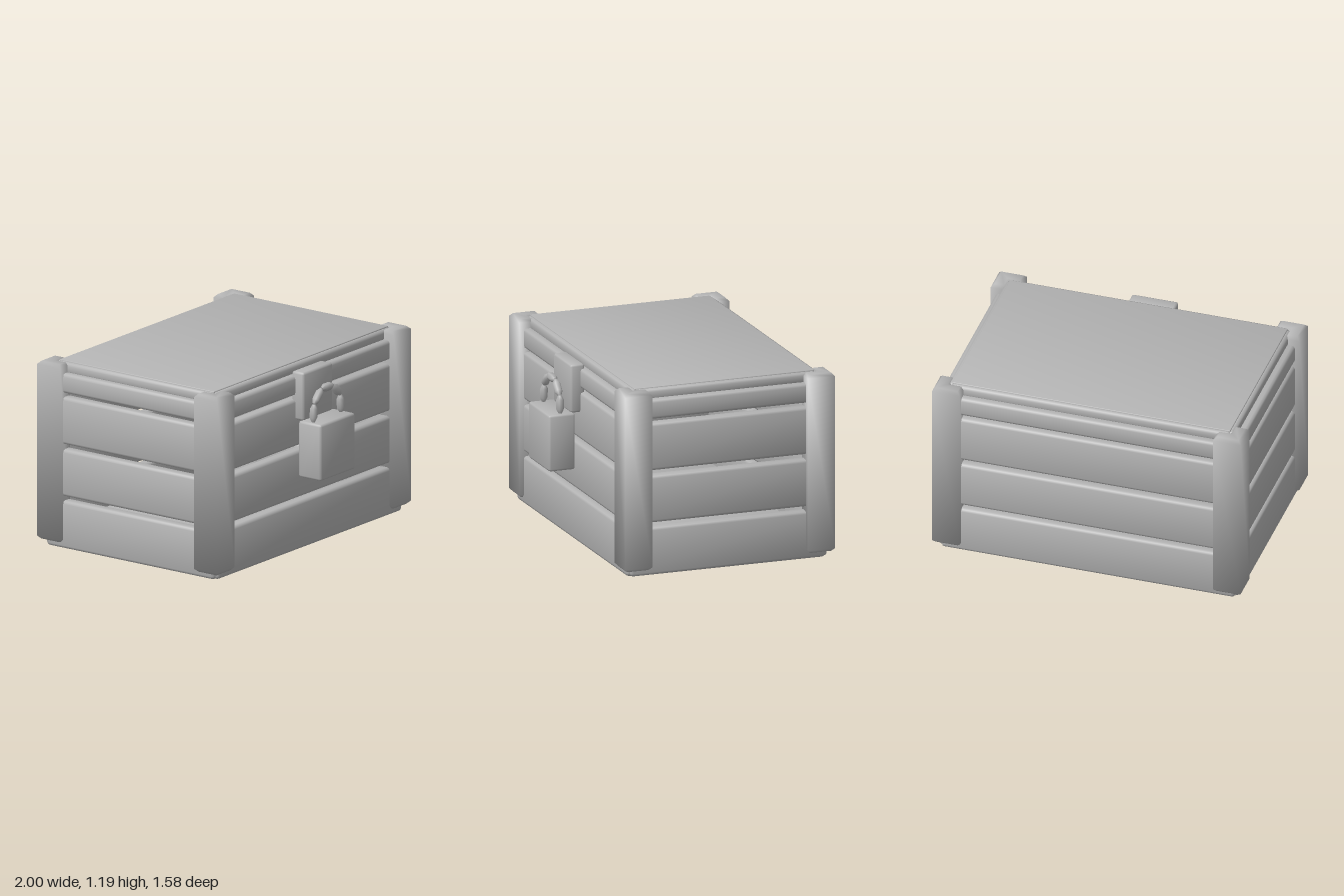
import * as THREE from 'three';
import { mergeVertices } from 'three/addons/utils/BufferGeometryUtils.js';
import { RoundedBoxGeometry } from 'three/addons/geometries/RoundedBoxGeometry.js';

const CZ = -0.095; // centre of the crate body in z; the lock hangs out in front

// Welds a bevelled shape and blends its face normals equally, for soft broad shading
function soften(geometry) {
  geometry.deleteAttribute('uv');
  geometry.deleteAttribute('normal');
  const g = mergeVertices(geometry, 1e-4);
  g.clearGroups();
  const pos = g.attributes.position, idx = g.index;
  const sums = Array.from({ length: pos.count }, () => new THREE.Vector3());
  const tri = new THREE.Triangle(), n = new THREE.Vector3();
  for (let i = 0; i < idx.count; i += 3) {
    const ids = [idx.getX(i), idx.getX(i + 1), idx.getX(i + 2)];
    tri.setFromAttributeAndIndices(pos, ...ids);
    if (tri.getArea() < 1e-9) continue;
    tri.getNormal(n);
    ids.forEach((id) => sums[id].add(n));
  }
  const normals = sums.flatMap((v) => v.normalize().toArray());
  g.setAttribute('normal', new THREE.Float32BufferAttribute(normals, 3));
  return g;
}

export function createModel() {
  const group = new THREE.Group();
  const grey = new THREE.MeshStandardMaterial({ color: 0xb4b4b4 });
  grey.name = 'plain grey';

  function add(name, geometry) {
    const mesh = new THREE.Mesh(geometry, grey);
    mesh.name = name;
    group.add(mesh);
    return mesh;
  }

  // Bevelled box given by its limits on each axis
  function block(name, [x0, x1], [y0, y1], [z0, z1], bevel = 0.02) {
    const g = soften(new RoundedBoxGeometry(x1 - x0, y1 - y0, z1 - z0, 1, bevel));
    return add(name, g).position.set((x0 + x1) / 2, (y0 + y1) / 2, (z0 + z1) / 2);
  }

  // Four planks round the body; outer faces at x = +-hx and z = CZ +- hz
  function ring(name, y, hx, hz, t) {
    for (const s of [-1, 1]) {
      const zs = [CZ + s * hz, CZ + s * (hz - t)].sort((a, b) => a - b);
      const xs = [s * hx, s * (hx - t)].sort((a, b) => a - b);
      block(s > 0 ? name + 'Front' : name + 'Back', [0.02 - hx, hx - 0.02], y, zs);
      block(s > 0 ? name + 'Left' : name + 'Right', xs, y, [CZ - hz + 0.02, CZ + hz - 0.02]);
    }
  }
  ring('lowerPlank', [0, 0.307], 0.97, 0.665, 0.08);
  ring('middlePlank', [0.335, 0.638], 0.97, 0.665, 0.08);
  ring('upperPlank', [0.67, 0.974], 0.97, 0.665, 0.08);
  ring('topPlank', [1.0, 1.125], 0.97, 0.665, 0.08);
  ring('lidRail', [1.11, 1.183], 0.925, 0.62, 0.07);

  // Lid panel, and floor panel set up inside the lowest planks
  block('lidPanel', [-0.9, 0.9], [1.15, 1.19], [CZ - 0.595, CZ + 0.595], 0.004);
  block('floorPanel', [-0.9, 0.9], [0.1, 0.13], [CZ - 0.595, CZ + 0.595], 0.004);

  // L-shaped corner posts
  const bevel = 0.02, bottom = 0.04, top = 1.185;
  for (const sx of [-1, 1]) {
    for (const sz of [-1, 1]) {
      const outline = [[1, 0.695], [0.82, 0.695], [0.82, 0.595], [0.9, 0.595], [0.9, 0.515], [1, 0.515]];
      const shape = new THREE.Shape(outline.map(([x, z]) => new THREE.Vector2(sx * x, -sz * z)));
      const g = new THREE.ExtrudeGeometry(shape, {
        depth: top - bottom - 2 * bevel, bevelEnabled: true, bevelSegments: 1,
        bevelSize: bevel, bevelThickness: bevel, bevelOffset: -bevel,
      });
      g.rotateX(-Math.PI / 2);
      const name = (sz > 0 ? 'front' : 'back') + (sx > 0 ? 'Left' : 'Right') + 'Post';
      add(name, soften(g)).position.set(0, bottom + bevel, CZ);
    }
  }

  // Hasp plate and padlock body
  block('hasp', [-0.152, 0.15], [0.845, 1.155], [0.54, 0.633], 0.015);
  block('padlockBody', [-0.18, 0.177], [0.49, 0.852], [0.612, 0.787], 0.015);

  // Shackle: five faceted links, pinched where they meet
  const path = [[-0.143, 0.85], [-0.135, 0.965], [-0.058, 1.045], [0.058, 1.045], [0.135, 0.965], [0.143, 0.85]]
    .map(([x, y]) => new THREE.Vector3(x, y, 0.7));
  const up = new THREE.Vector3(0, 1, 0);
  for (let i = 0; i < path.length - 1; i++) {
    const dir = path[i + 1].clone().sub(path[i]);
    const len = dir.length();
    const profile = [[0.011, 0], [0.026, 0.25], [0.026, 0.75], [0.011, 1]]
      .map(([r, t]) => new THREE.Vector2(r, (t - 0.5) * len));
    const link = add('shackleLink' + (i + 1), new THREE.LatheGeometry(profile, 6));
    link.position.copy(path[i]).addScaledVector(dir, 0.5);
    link.quaternion.setFromUnitVectors(up, dir.normalize());
  }
  return group;
}
